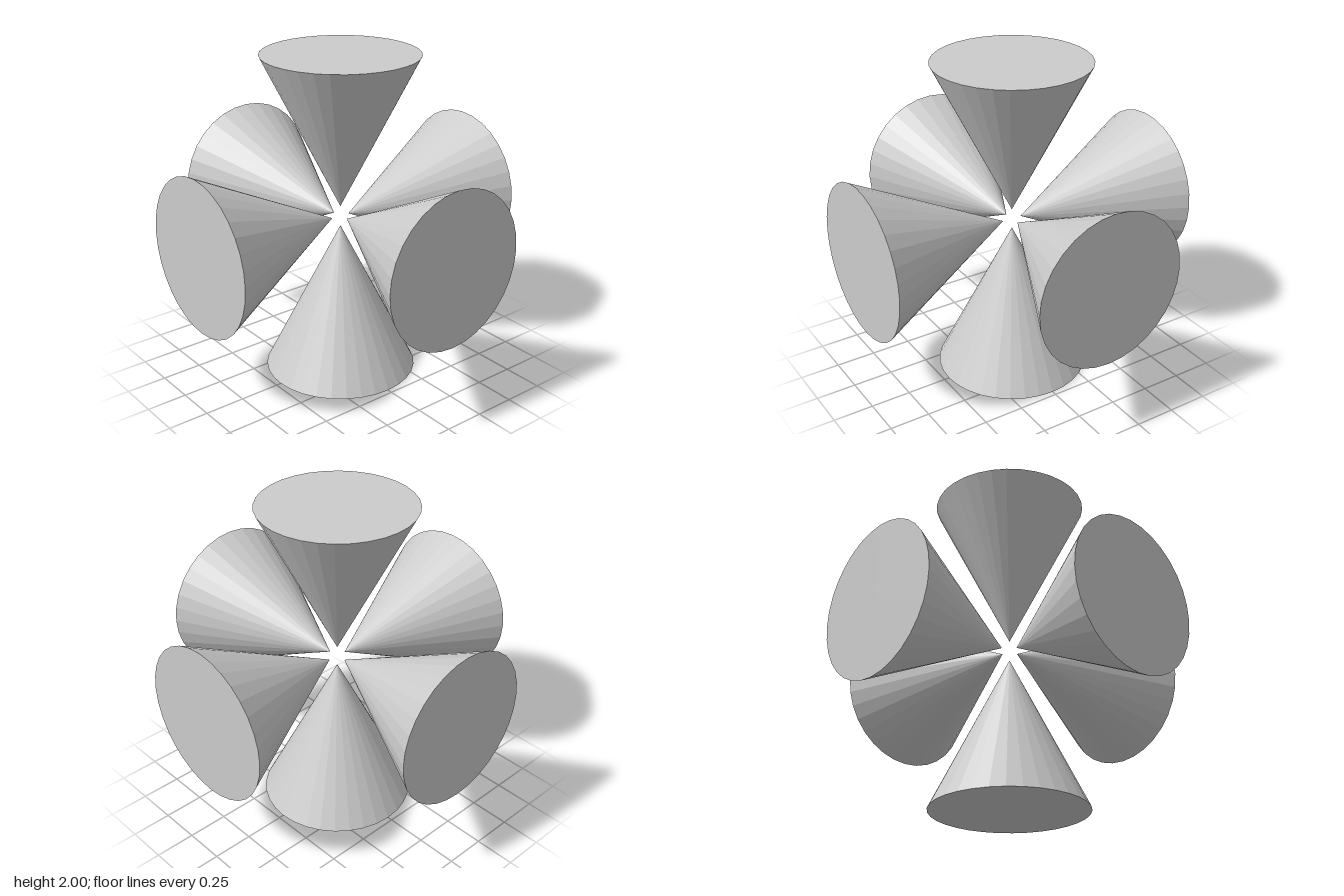
import * as THREE from 'three';

const REACH = 1;        // centre to each flat base
const GAP = 0.0625;     // centre to each tip
const RADIUS = 0.46875;

export function createModel() {
  const model = new THREE.Group();
  model.name = 'coneCluster';
  const material = new THREE.MeshStandardMaterial({ color: 0xcccccc, flatShading: true });

  // One cone with its tip near the origin and its base at +y
  const height = REACH - GAP;
  const geometry = new THREE.ConeGeometry(RADIUS, height, 32);
  geometry.rotateX(Math.PI);
  geometry.translate(0, GAP + height / 2, 0);

  // Six cones pointing inward along the axes
  const directions = {
    topCone: [0, 1, 0],
    bottomCone: [0, -1, 0],
    leftCone: [1, 0, 0],
    rightCone: [-1, 0, 0],
    frontCone: [0, 0, 1],
    backCone: [0, 0, -1],
  };
  const up = new THREE.Vector3(0, 1, 0);
  for (const [name, dir] of Object.entries(directions)) {
    const cone = new THREE.Mesh(geometry, material);
    cone.name = name;
    cone.quaternion.setFromUnitVectors(up, new THREE.Vector3(...dir));
    cone.position.y = 1;
    model.add(cone);
  }
  return model;
}
